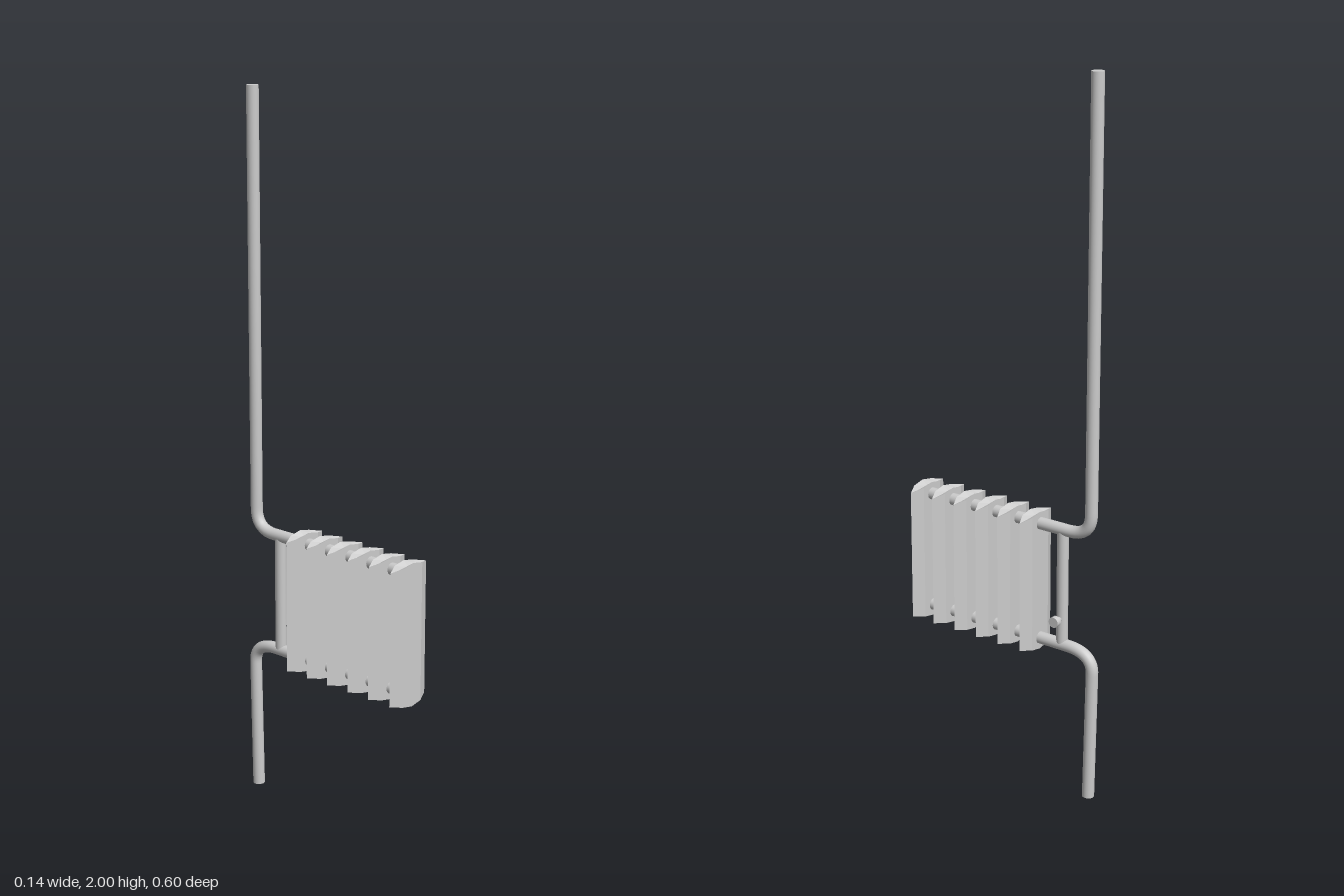
import * as THREE from 'three';

const material = new THREE.MeshStandardMaterial({ color: 0xcccccc });
const finMaterial = new THREE.MeshStandardMaterial({ color: 0xcccccc, flatShading: true });
const R = 0.017;
const MID = 0.603; // height of the fin centre
const V = (y, z) => new THREE.Vector3(0, y, z);

function add(parent, name, geometry, mat = material) {
  const mesh = new THREE.Mesh(geometry, mat);
  mesh.name = name;
  parent.add(mesh);
  return mesh;
}

// Capped pipe: straight run, rounded elbow, straight run
function pipe(parent, name, start, elbowIn, corner, elbowOut, end) {
  const group = new THREE.Group();
  group.name = name;
  const path = new THREE.CurvePath();
  path.add(new THREE.LineCurve3(start, elbowIn));
  path.add(new THREE.QuadraticBezierCurve3(elbowIn, corner, elbowOut));
  path.add(new THREE.LineCurve3(elbowOut, end));
  add(group, name + 'Tube', new THREE.TubeGeometry(path, 120, R, 20, false));
  for (const [point, dir] of [[start, start.clone().sub(elbowIn)], [end, end.clone().sub(elbowOut)]]) {
    const cap = add(group, name + 'Cap', new THREE.CircleGeometry(R, 20));
    cap.position.copy(point);
    cap.quaternion.setFromUnitVectors(new THREE.Vector3(0, 0, 1), dir.normalize());
  }
  parent.add(group);
}

// Fin: pointed sides, ends peaked at the centre and grooved along the middle
function finGeometry() {
  const xs = [-0.072, -0.036, 0, 0.036, 0.072];
  const depth = [0, 0.017, 0.017, 0.017, 0];
  const height = [0.187, 0.195, 0.202, 0.195, 0.187];
  const positions = [];
  const index = [];
  // Each cross-section is a loop of six points around x
  xs.forEach((x, i) => {
    const h = height[i], d = depth[i], groove = 0.187;
    positions.push(x, h, d, x, groove, 0, x, h, -d, x, -h, -d, x, -groove, 0, x, -h, d);
  });
  for (let i = 0; i < xs.length - 1; i++) {
    for (let j = 0; j < 6; j++) {
      const a = i * 6 + j, b = i * 6 + (j + 1) % 6;
      index.push(a, a + 6, b, b, a + 6, b + 6);
    }
  }
  const geometry = new THREE.BufferGeometry();
  geometry.setAttribute('position', new THREE.Float32BufferAttribute(positions, 3));
  geometry.setIndex(index);
  const flat = geometry.toNonIndexed();
  flat.computeVertexNormals();
  return flat;
}

export function createModel() {
  const model = new THREE.Group();
  model.name = 'radiator';

  // Six heating fins
  const fins = new THREE.Group();
  fins.name = 'fins';
  const fin = finGeometry();
  for (let i = 0; i < 6; i++) {
    add(fins, 'fin', fin, finMaterial).position.set(0, MID, -0.092 + i * 0.0747);
  }
  model.add(fins);

  // Supply riser and return pipe, threaded through the fins
  pipe(model, 'supplyPipe', V(2, -0.274), V(0.835, -0.274), V(0.772, -0.274), V(0.772, -0.205), V(0.772, 0.28));
  pipe(model, 'returnPipe', V(0, -0.276), V(0.375, -0.283), V(0.435, -0.284), V(0.435, -0.2), V(0.435, 0.28));

  // Bypass between the two pipes, with a valve on its left side
  add(model, 'bypassPipe', new THREE.CylinderGeometry(0.016, 0.016, 0.337, 20)).position.set(0, 0.6035, -0.183);
  const profile = [[0, 0], [0.007, 0], [0.007, 0.017], [0.015, 0.029], [0.015, 0.029], [0.015, 0.044], [0.015, 0.044], [0, 0.044]];
  const valve = add(model, 'valve', new THREE.LatheGeometry(profile.map(([r, y]) => new THREE.Vector2(r, y)), 16));
  valve.rotation.z = -Math.PI / 2;
  valve.position.set(0, 0.515, -0.184);

  return model;
}
